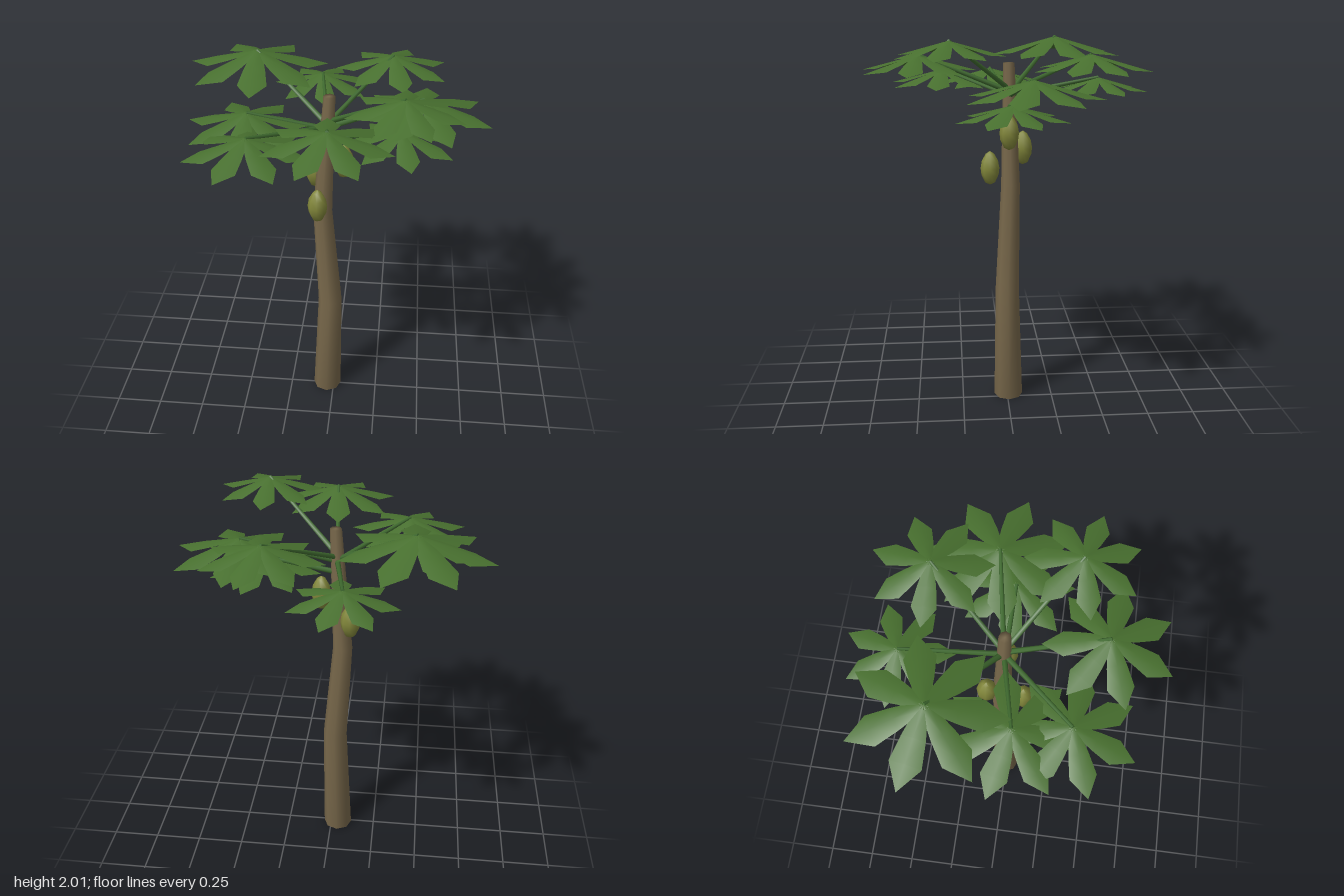
import * as THREE from 'three';

const mat = (name, color, side = THREE.FrontSide) => {
  const m = new THREE.MeshStandardMaterial({ color, side });
  m.name = name;
  return m;
};

function build(positions, indices) {
  const g = new THREE.BufferGeometry();
  g.setAttribute('position', new THREE.Float32BufferAttribute(positions, 3));
  g.setIndex(indices);
  g.computeVertexNormals();
  return g;
}

// Bent trunk lofted through rings [x, y, z, radius], capped at both ends
function trunkGeometry(rings, sides) {
  const pos = [], idx = [];
  for (const [x, y, z, r] of rings) {
    for (let i = 0; i < sides; i++) {
      const a = (i / sides) * Math.PI * 2;
      pos.push(x + r * Math.cos(a), y, z + r * Math.sin(a));
    }
  }
  const last = (rings.length - 1) * sides, bottom = rings.length * sides;
  pos.push(...rings[0].slice(0, 3), ...rings[rings.length - 1].slice(0, 3));
  for (let i = 0; i < sides; i++) {
    const n = (i + 1) % sides;
    for (let k = 0; k < last; k += sides) {
      idx.push(k + i, k + sides + i, k + n, k + n, k + sides + i, k + sides + n);
    }
    idx.push(bottom, i, n, bottom + 1, last + n, last + i);
  }
  return build(pos, idx);
}

// Unit leaf: seven pointed, drooping, ridged leaflets; the first points to +x
function leafGeometry() {
  const rows = [[0, 0.06], [0.38, 0.15], [0.68, 0.2], [1, 0]]; // distance, half width
  const pos = [], idx = [];
  for (let l = 0; l < 7; l++) {
    const a = (l / 7) * Math.PI * 2, c = Math.cos(a), s = Math.sin(a), base = pos.length / 3;
    for (const [t, w] of rows) {
      for (const side of [-1, 0, 1]) {
        const z = side * w;
        pos.push(t * c - z * s, -0.27 * t - 0.25 * Math.abs(z), t * s + z * c);
      }
    }
    for (let r = 0; r < rows.length - 1; r++) {
      const [l0, m0, r0, l1, m1, r1] = [0, 1, 2, 3, 4, 5].map((k) => base + r * 3 + k);
      idx.push(m0, r0, m1, m0, m1, l0);
      if (r < rows.length - 2) idx.push(r0, r1, m1, l0, m1, l1);
    }
  }
  return build(pos, idx);
}

// Tapered stalk between two points
function stalkGeometry(from, to) {
  const dir = to.clone().sub(from);
  const g = new THREE.CylinderGeometry(0.008, 0.014, dir.length(), 6);
  g.applyQuaternion(new THREE.Quaternion().setFromUnitVectors(new THREE.Vector3(0, 1, 0), dir.normalize()));
  const mid = from.clone().add(to).multiplyScalar(0.5);
  return g.translate(mid.x, mid.y, mid.z);
}

export function createModel() {
  const tree = new THREE.Group();
  tree.name = 'fruitTree';
  const bark = mat('bark', 0x77674a);
  const leafGreen = mat('leafGreen', 0x48702f, THREE.DoubleSide);
  const stalkGreen = mat('stalkGreen', 0x3f6a2f);
  const fruitGreen = mat('fruitGreen', 0x80853a);

  const add = (name, geometry, material, parent = tree) => {
    const mesh = new THREE.Mesh(geometry, material);
    mesh.name = name;
    parent.add(mesh);
    return mesh;
  };

  // Trunk
  add('trunk', trunkGeometry([
    [-0.038, 0, -0.007, 0.079],
    [-0.02, 0.65, 0, 0.064],
    [-0.06, 1.22, -0.02, 0.05],
    [-0.022, 1.865, -0.008, 0.029],
  ], 8), bark);

  // Leaves: x, y, z of the hub, leaflet length, stalk start height
  const leaves = [
    [-0.41, 1.97, -0.29, 0.36, 1.71],
    [-0.10, 1.78, -0.48, 0.26, 1.70],
    [0.27, 1.93, -0.38, 0.29, 1.72],
    [0.43, 1.83, -0.09, 0.34, 1.70],
    [0.34, 2.00, 0.295, 0.27, 1.73],
    [0.01, 1.91, 0.45, 0.30, 1.72],
    [-0.37, 1.80, 0.33, 0.30, 1.70],
    [-0.41, 1.80, 0.07, 0.31, 1.69],
    [0.33, 1.70, 0.0, 0.28, 1.64],
  ];
  const leafGeo = leafGeometry();
  for (const [x, y, z, size, startY] of leaves) {
    const hub = new THREE.Vector3(x, y, z);
    const start = new THREE.Vector3(-0.03, startY, -0.012);
    const branch = new THREE.Group();
    branch.name = 'leafBranch';
    tree.add(branch);
    add('leafStalk', stalkGeometry(start, hub), stalkGreen, branch);
    const leaf = add('leaf', leafGeo, leafGreen, branch);
    leaf.position.copy(hub);
    leaf.scale.setScalar(size);
    // one leaflet points back to the trunk
    leaf.rotation.y = -Math.atan2(start.z - z, start.x - x);
  }

  // Fruits hanging close to the trunk
  const profile = [[0, -0.09], [0.027, -0.077], [0.046, -0.035], [0.05, 0], [0.043, 0.04], [0.022, 0.078], [0, 0.092]];
  const fruitGeo = new THREE.LatheGeometry(profile.map(([r, y]) => new THREE.Vector2(r, y)), 8);
  for (const p of [[0.05, 1.52, -0.005], [-0.103, 1.412, -0.088], [-0.075, 1.31, 0.088]]) {
    add('fruit', fruitGeo, fruitGreen).position.set(...p);
  }
  return tree;
}
